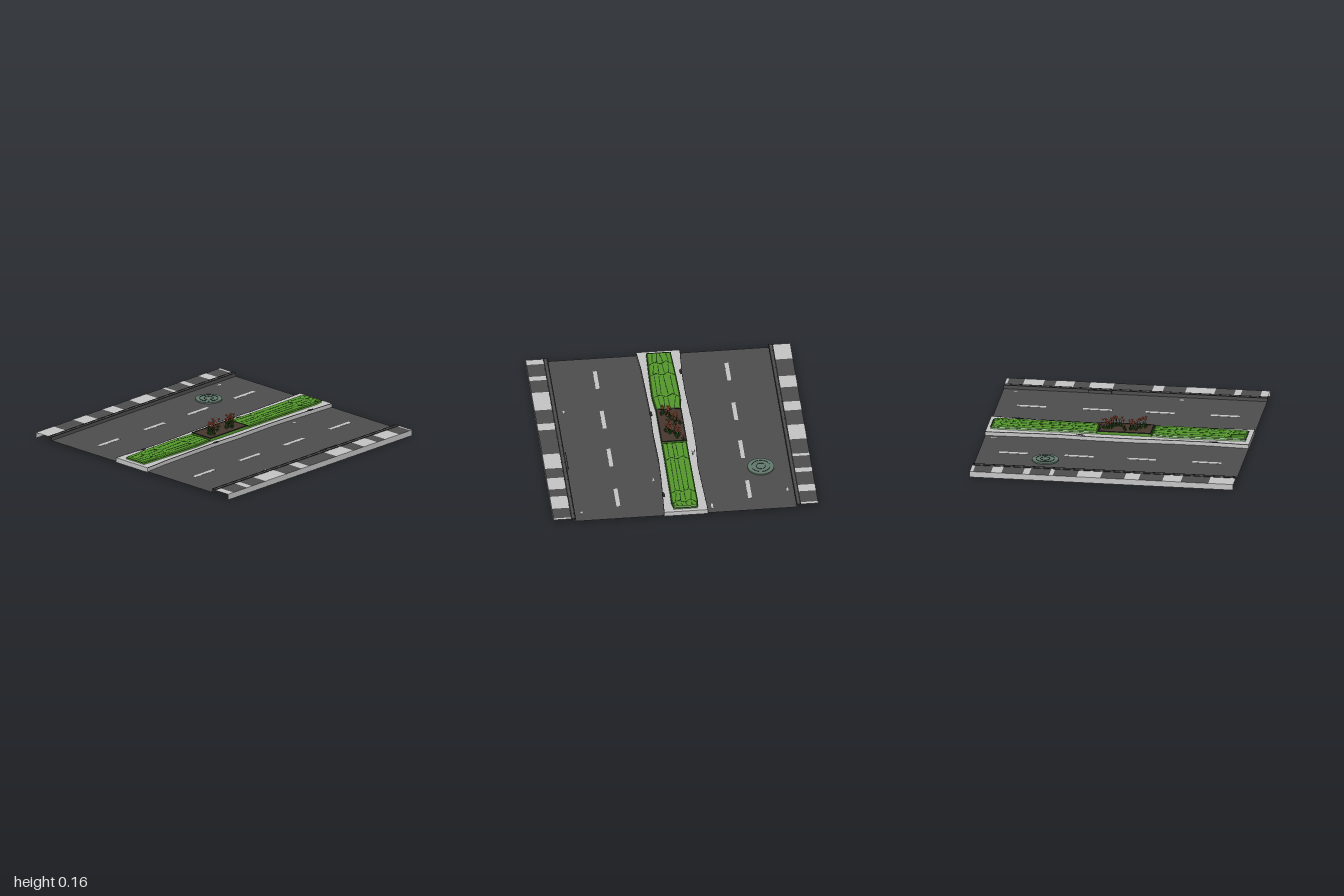
import * as THREE from 'three';

const mat = (name, color, side = THREE.FrontSide) => {
  const m = new THREE.MeshStandardMaterial({ color, side });
  m.name = name;
  return m;
};

export function createModel() {
  const root = new THREE.Group();
  root.name = 'dividedRoad';
  const D = THREE.DoubleSide;
  const asphalt = mat('asphalt', 0x4e4e4e, D), concrete = mat('concrete', 0xc6c6c6, D);
  const black = mat('dark line', 0x222222, D), grassMat = mat('grass', 0x55992b);
  const darkGreen = mat('dark green', 0x24481a), soil = mat('soil', 0x47382f);
  const teal = mat('manhole iron', 0x627a6e), red = mat('petal red', 0xd4603f);
  const yellow = mat('yellow paint', 0xd9a02a);

  let seed = 7;
  const rnd = (a, b) => {
    seed = (seed * 16807) % 2147483647;
    return a + (b - a) * seed / 2147483647;
  };
  const add = (name, geo, material, parent = root) => {
    const m = new THREE.Mesh(geo, material);
    m.name = name;
    parent.add(m);
    return m;
  };
  // box given by its limits
  const block = (name, x0, x1, y0, y1, z0, z1, material, parent) => {
    const m = add(name, new THREE.BoxGeometry(x1 - x0, y1 - y0, z1 - z0), material, parent);
    m.position.set((x0 + x1) / 2, (y0 + y1) / 2, (z0 + z1) / 2);
  };
  // thin painted stroke between two points on a level surface
  const stroke = (name, x0, z0, x1, z1, width, y, material, parent) => {
    const m = add(name, new THREE.BoxGeometry(width, 0.002, Math.hypot(x1 - x0, z1 - z0)), material, parent);
    m.position.set((x0 + x1) / 2, y, (z0 + z1) / 2);
    m.rotation.y = Math.atan2(x1 - x0, z1 - z0);
  };
  const flat = (name, x0, x1, y, z0, z1, material, parent) => {
    const m = add(name, new THREE.PlaneGeometry(x1 - x0, z1 - z0).rotateX(-Math.PI / 2), material, parent);
    m.position.set((x0 + x1) / 2, y, (z0 + z1) / 2);
  };

  // Road surface and paint
  const ROAD = 0.02;
  const paint = (name, x, halfWidth, z0, z1, material) =>
    block(name, x - halfWidth, x + halfWidth, ROAD - 0.001, ROAD + 0.001, z0, z1, material);
  flat('road', -0.84, 0.84, ROAD, -1, 1, asphalt);
  for (const x of [-0.5, 0.495]) for (const z of [-0.74, -0.24, 0.235, 0.73])
    paint('laneMark', x, 0.015, z - 0.11, z + 0.11, concrete);
  for (const [x, z0, z1] of [
    [0.09, 0.42, 0.47], [0.09, 0.02, 0.33], [0.09, -0.3, -0.1], [0.09, -0.45, -0.37], [0.09, -0.65, -0.58],
    [-0.09, 0.4, 0.44], [-0.09, 0.13, 0.36], [-0.09, -0.3, 0.02], [-0.09, -0.48, -0.39], [-0.09, -0.69, -0.63]])
    paint('centreDash', x, 0.014, z0, z1, yellow);
  for (const [x, z, h] of [[-0.79, -0.77, 0.02], [-0.205, -0.92, 0.028], [0.2, -0.55, 0.018], [0.78, 0.36, 0.015], [0.78, -0.9, 0.012]])
    paint('paintChip', x, 0.007, z - h, z + h, concrete);

  // Manhole cover with raised ridges
  const cover = add('manholeCover', new THREE.CylinderGeometry(0.1, 0.1, 0.01, 40), teal);
  cover.position.set(-0.62, 0.027, -0.48);
  for (const r of [0.035, 0.07]) {
    const ridge = add('manholeRidge', new THREE.CylinderGeometry(r, r, 0.004, 24, 1, true), black);
    ridge.position.set(-0.62, 0.033, -0.48);
  }

  // Pavements: alternating slabs from light to dark, starting light at the back
  const slabEdges = {
    '-1': [-1, -0.975, -0.84, -0.76, -0.6, -0.55, -0.4, -0.37, -0.19, -0.01, 0.17, 0.28, 0.46, 0.6, 0.81, 1],
    1: [-1, -0.98, -0.86, -0.71, -0.62, -0.48, -0.36, -0.18, 0.12, 0.2, 0.37, 0.59, 0.74, 0.79, 0.94, 1],
  };
  for (const s of [-1, 1]) {
    const side = new THREE.Group();
    side.name = s > 0 ? 'leftPavement' : 'rightPavement';
    root.add(side);
    const e = slabEdges[s], lo = Math.min(s, s * 0.865), hi = Math.max(s, s * 0.865);
    for (let i = 0; i < e.length - 1; i++) {
      const dark = i % 2 === 1;
      flat(dark ? 'darkSlab' : 'lightSlab', lo, hi, 0.045, e[i], e[i + 1], dark ? asphalt : concrete, side);
    }
    const skirt = add('outerFace', new THREE.PlaneGeometry(2, 0.045).rotateY(s * Math.PI / 2), concrete, side);
    skirt.position.set(s, 0.0225, 0);
    // kerb: riser, raised top and two dark edge lines
    const riser = add('kerbFace', new THREE.PlaneGeometry(2, 0.027).rotateY(-s * Math.PI / 2), asphalt, side);
    riser.position.set(s * 0.836, 0.0325, 0);
    const [k0, k1] = s > 0 ? [0.836, 0.866] : [-0.866, -0.836];
    block('kerbTop', k0, k1, 0.041, 0.048, -1, 1, asphalt, side);
    for (const x of [0.838, 0.864])
      stroke('kerbLine', s * x, -1, s * x, 1, 0.01, 0.048, black, side);
  }
  block('drainInlet', 0.822, 0.838, 0.024, 0.047, -0.36, -0.18, asphalt);
  stroke('drainLine', 0.824, -0.36, 0.824, -0.18, 0.005, 0.047, black);

  // Median: top face and walls with worn, wavy sides, open below
  const leftEdge = [[0.165, 1], [0.15, 0.8], [0.143, 0.5], [0.138, 0.25], [0.145, 0], [0.138, -0.35], [0.145, -0.6], [0.155, -0.8], [0.165, -1]];
  const rightEdge = [[-0.165, -1], [-0.158, -0.8], [-0.147, -0.45], [-0.16, -0.2], [-0.163, 0.1], [-0.15, 0.45], [-0.15, 0.7], [-0.165, 1]];
  const outline = [...leftEdge, ...rightEdge];
  const shape = new THREE.Shape(outline.map(([x, z]) => new THREE.Vector2(x, -z)));
  add('medianTop', new THREE.ShapeGeometry(shape).rotateX(-Math.PI / 2), concrete).position.y = 0.05;
  outline.forEach(([x0, z0], i) => {
    const [x1, z1] = outline[(i + 1) % outline.length];
    const wall = add('medianWall', new THREE.PlaneGeometry(Math.hypot(x1 - x0, z1 - z0), 0.037), concrete);
    wall.position.set((x0 + x1) / 2, 0.0315, (z0 + z1) / 2);
    wall.rotation.y = Math.atan2(z0 - z1, x1 - x0);
    if (z0 !== z1) stroke('medianEdge', x0, z0, x1, z1, 0.004, 0.05, black);
  });
  for (const [x, z] of [[0.148, -0.78], [0.136, 0.23], [-0.143, 0.73]]) {
    const chip = add('edgeChip', new THREE.CylinderGeometry(0.012, 0.012, 0.004, 6), black);
    chip.scale.z = 2.8;
    chip.position.set(x, 0.05, z);
  }
  stroke('crack', -0.145, -0.25, -0.125, -0.31, 0.004, 0.051, black);
  stroke('crack', -0.125, -0.31, -0.122, -0.26, 0.004, 0.051, black);

  // Grass strips: bevelled lofts through [z, half width]
  const grass = (stations) => {
    const g = new THREE.Group();
    g.name = 'grassStrip';
    root.add(g);
    const pos = [], idx = [], n = stations.length;
    stations.forEach(([z, w], i) => {
      const inset = i === 0 ? 0.012 : i === n - 1 ? -0.012 : 0;
      pos.push(-w, 0.05, z, -w * 0.9, 0.069, z + inset, w * 0.9, 0.069, z + inset, w, 0.05, z);
      if (i < n - 1) for (let k = 0; k < 3; k++) {
        const a = i * 4 + k;
        idx.push(a, a + 4, a + 1, a + 1, a + 4, a + 5);
      }
    });
    const f = (n - 1) * 4;
    idx.push(0, 1, 2, 0, 2, 3, f, f + 2, f + 1, f, f + 3, f + 2);
    let geo = new THREE.BufferGeometry();
    geo.setAttribute('position', new THREE.Float32BufferAttribute(pos, 3));
    geo.setIndex(idx);
    geo = geo.toNonIndexed();
    geo.computeVertexNormals();
    add('turf', geo, grassMat, g);
    // dark lines: edges, long seams and zigzag cross seams
    const zigzag = [-0.02, 0.02, -0.012, 0.012, -0.022];
    for (let i = 0; i < n - 1; i++) {
      const [z0, w0] = stations[i], [z1, w1] = stations[i + 1];
      for (const s of [-0.96, 0.96]) stroke('turfEdge', s * w0, z0, s * w1, z1, 0.006, 0.06, darkGreen, g);
      for (const s of [-0.55, -0.12, 0.25, 0.6]) {
        const a = s + rnd(-0.09, 0.09), b = s + rnd(-0.09, 0.09);
        stroke('turfSeam', a * w0, z0 + 0.015, b * w1, z1 - rnd(0.01, 0.03), 0.006, 0.069, darkGreen, g);
      }
      if (i < n - 2) for (let k = 0; k < 4; k++)
        stroke('turfCrossSeam', (k - 2) * w1 * 0.45, z1 + zigzag[k], (k - 1) * w1 * 0.45, z1 + zigzag[k + 1], 0.006, 0.0692, darkGreen, g);
    }
    for (const [z, w] of [stations[0], stations[n - 1]])
      stroke('turfEnd', -w * 0.9, z, w * 0.9, z, 0.008, 0.06, darkGreen, g);
  };
  grass([[-0.97, 0.09], [-0.9, 0.102], [-0.77, 0.1], [-0.36, 0.097], [-0.16, 0.097]]);
  grass([[0.25, 0.097], [0.42, 0.11], [0.69, 0.104], [0.83, 0.099], [0.965, 0.094]]);

  // Flower bed on a grassy bank
  block('bedBank', -0.097, 0.097, 0.05, 0.069, -0.16, 0.25, grassMat);
  block('soilBed', -0.092, 0.092, 0.069, 0.074, -0.155, 0.245, soil);
  for (const x of [-0.092, 0.092]) block('bedRim', x - 0.005, x + 0.005, 0.069, 0.076, -0.157, 0.247, black);
  for (const z of [-0.153, 0.243]) block('bedRim', -0.095, 0.095, 0.069, 0.076, z - 0.004, z + 0.004, black);

  // Flowers: stem, splayed leaves and a cup of rounded petals
  const stemGeo = new THREE.CylinderGeometry(0.0014, 0.0018, 1, 5).translate(0, 0.5, 0);
  const leafGeo = new THREE.ConeGeometry(0.004, 0.034, 5).translate(0, 0.017, 0);
  const petalGeo = new THREE.SphereGeometry(0.006, 8, 6).scale(0.8, 1.5, 0.6).translate(0, 0.008, 0);
  const flower = (x, z, height) => {
    const g = new THREE.Group();
    g.name = 'flower';
    g.position.set(x, 0.073, z);
    g.rotation.set(rnd(-0.15, 0.15), rnd(0, 6), rnd(-0.15, 0.15));
    add('stem', stemGeo, darkGreen, g).scale.y = height;
    for (let i = 0; i < 5; i++) {
      const leaf = add('leaf', leafGeo, i % 2 ? grassMat : darkGreen, g);
      leaf.rotation.set(0.55 + 0.2 * (i % 2), i * 1.257, 0, 'YXZ');
    }
    for (let i = 0; i < 4; i++) {
      const petal = add('petal', petalGeo, red, g);
      petal.position.y = height;
      petal.rotation.set(0.65, i * 1.571, 0, 'YXZ');
    }
    root.add(g);
  };
  // two drifts running diagonally across the bed
  for (const z0 of [-0.075, 0.13]) for (let i = 0; i < 18; i++) {
    const t = i / 17 - 0.5;
    flower(t * 0.1 + rnd(-0.025, 0.025), z0 + t * 0.13 + rnd(-0.03, 0.03), rnd(0.04, 0.072));
  }
  return root;
}
